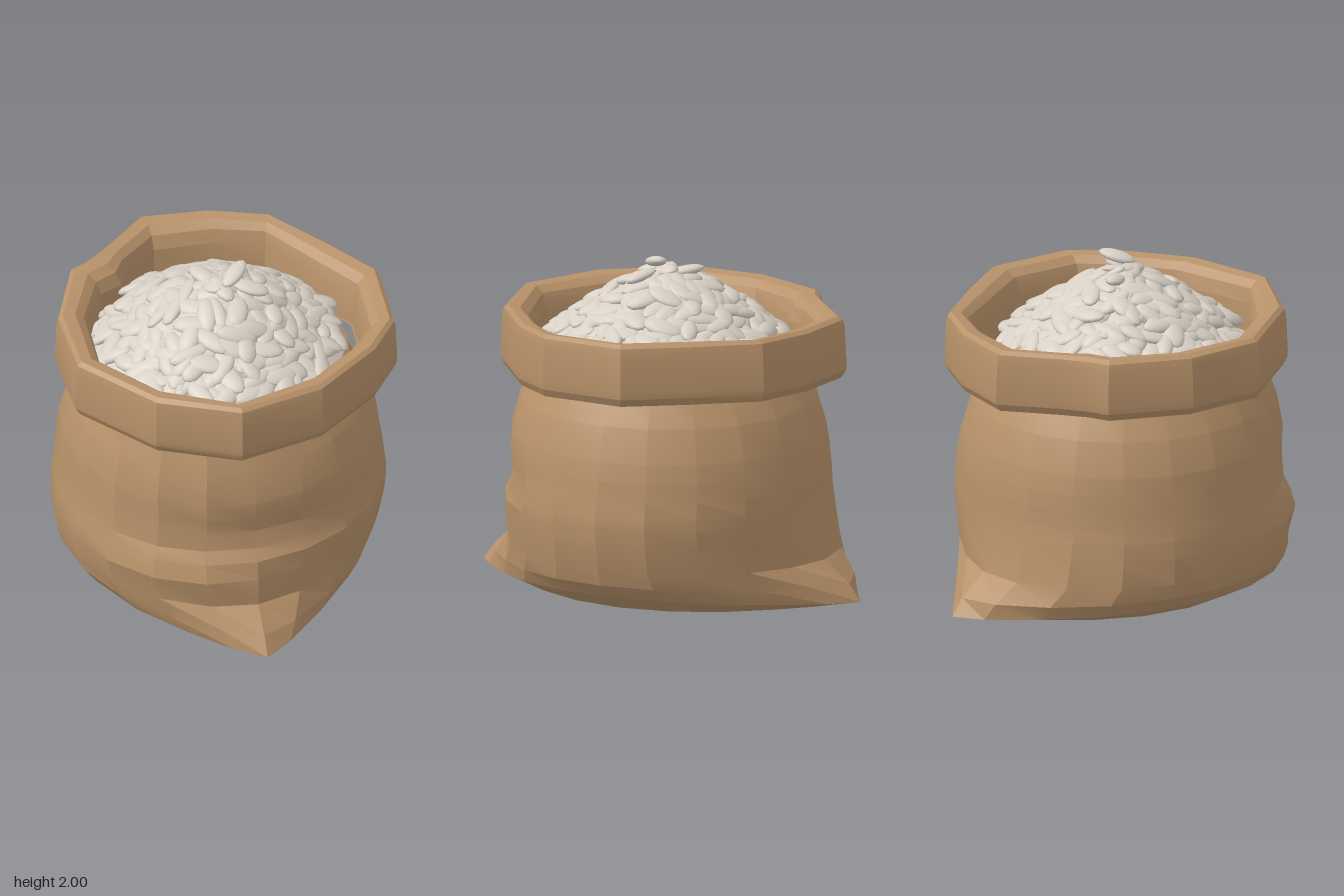
import * as THREE from 'three';
import { mergeGeometries, toCreasedNormals } from 'three/addons/utils/BufferGeometryUtils.js';

// Skin a list of closed rings (counter-clockwise from above), outside facing outward
function loft(rings, crease = 0.32) {
  const n = rings[0].length;
  const index = [];
  for (let i = 0; i < rings.length - 1; i++) {
    for (let j = 0; j < n; j++) {
      const a = i * n + j, b = i * n + (j + 1) % n;
      index.push(a, b, a + n, b, b + n, a + n);
    }
  }
  const geo = new THREE.BufferGeometry().setFromPoints(rings.flat());
  geo.setIndex(index);
  return toCreasedNormals(geo, crease);
}

function seeded(seed) {
  return () => {
    seed = (seed * 16807) % 2147483647;
    return seed / 2147483647;
  };
}

// Weight of a bulge or dent around one direction
const near = (t, centre, power) => Math.max(0, Math.cos(t - centre)) ** power;

// Sack: each ring is an ellipse on the diagonal, pinched to a lens with two pointed ears at the base
function sackGeometry() {
  // height, lift of the sides, half length, half width on either side, pinch, ear, front bulge, back bulge, front dent
  const rows = [
    [0, 0, 0, 0, 0, 0, 0, 0, 0, 0],
    [0.01, 0.01, 0.98, 0.66, 0.66, 0.5, 0.1, 0, 0, 0],
    [0.04, 0.09, 1.07, 0.85, 0.86, 0.45, 0.12, 0, 0.04, 0],
    [0.14, 0.07, 1.02, 0.92, 0.92, 0.3, 0.09, 0.02, 0.07, 0],
    [0.27, 0.03, 0.95, 0.95, 0.94, 0.1, 0.01, 0.04, 0.07, 0],
    [0.45, 0, 0.95, 0.98, 0.95, 0.04, 0, 0.07, 0.03, 0],
    [0.56, 0, 0.95, 0.99, 0.95, 0, 0, 0.03, 0.01, 0],
    [0.63, 0, 0.95, 0.99, 0.94, 0, 0, 0, 0, -0.03],
    [0.74, 0, 0.95, 0.97, 0.93, 0, 0, 0, 0, -0.05],
    [0.84, 0, 0.94, 0.96, 0.92, 0, 0, 0, 0, -0.02],
    [0.95, 0, 0.92, 0.94, 0.91, 0, 0, 0.02, 0, 0],
    [1.15, 0, 0.86, 0.88, 0.85, 0, 0, 0.05, 0, 0],
    [1.32, 0, 0.76, 0.78, 0.76, 0, 0, 0.1, 0, 0],
    [1.38, 0, 0.76, 0.78, 0.76, 0, 0, 0.07, 0, 0],
  ];
  const sides = 20;
  const rings = rows.map(([y, lift, U, Vp, Vn, pinch, ear, front, back, dent]) => {
    const ring = [];
    for (let j = 0; j < sides; j++) {
      const t = (j / sides) * Math.PI * 2;
      const c = Math.cos(t), s = Math.sin(t);
      const swell = 1 + ear * c ** 12 + dent * near(t, 0.15, 4)
        + front * near(t, -0.5, 4) + back * near(t, Math.PI + 0.5, 4);
      const u = U * c * swell;
      const v = (s > 0 ? Vp : Vn) * s * Math.abs(s) ** pinch * swell;
      ring.push(new THREE.Vector3((u + v) * Math.SQRT1_2, y + lift * s * s, (u - v) * Math.SQRT1_2));
    }
    return ring;
  });
  return loft(rings);
}

// Rolled cuff: a profile swept between an outer and an inner outline, pinched on one side
function cuffGeometry() {
  const outer = [[0.99, -0.17], [0.94, -0.47], [0.6, -0.86], [0.21, -0.94], [-0.23, -1], [-0.56, -0.86],
    [-0.87, -0.61], [-0.89, -0.24], [-0.92, -0.06], [-0.96, 0.06], [-0.77, 0.53], [-0.43, 0.87],
    [0.16, 0.95], [0.64, 0.78], [0.92, 0.34]];
  const inner = [[0.81, -0.1], [0.8, -0.36], [0.53, -0.67], [0.2, -0.75], [-0.17, -0.85], [-0.45, -0.71],
    [-0.7, -0.48], [-0.73, -0.2], [-0.69, -0.09], [-0.74, 0.05], [-0.64, 0.36], [-0.36, 0.69],
    [0.08, 0.76], [0.53, 0.66], [0.77, 0.2]];
  // how far inward, height
  const profile = [[1.1, 1.36], [0.55, 1.35], [0.4, 1.325], [0.15, 1.315], [0.02, 1.36], [0, 1.4], [0.05, 1.62],
    [0.1, 1.66], [0.24, 1.68], [0.6, 1.67], [0.85, 1.63], [1, 1.55], [1.04, 1.36]];
  const rings = profile.map(([f, y]) => outer.map(([x, z], j) => new THREE.Vector3(
    x + (inner[j][0] - x) * f, y, z + (inner[j][1] - z) * f)));
  return loft(rings);
}

// Height of the heap at a distance from its middle
const heap = [[0.001, 1.88], [0.2, 1.8], [0.33, 1.73], [0.48, 1.63], [0.66, 1.5], [0.74, 1.42]];
function heapHeight(r) {
  const i = heap.findIndex(([edge]) => r <= edge);
  const [r0, y0] = heap[i - 1], [r1, y1] = heap[i];
  return y0 + (y1 - y0) * (r - r0) / (r1 - r0);
}

// Seeds laid in a spiral over the heap, each turned and tipped a little
function seedsGeometry() {
  const rand = seeded(4217);
  const base = new THREE.SphereGeometry(1, 12, 8);
  const dummy = new THREE.Object3D();
  dummy.rotation.order = 'YXZ';
  const slope = new THREE.Quaternion();
  const up = new THREE.Vector3(0, 1, 0);
  const seeds = [];
  const add = () => {
    dummy.updateMatrix();
    seeds.push(base.clone().applyMatrix4(dummy.matrix));
  };
  const count = 270;
  for (let i = 0; i < count; i++) {
    const r = 0.68 * Math.sqrt((i + 0.5) / count);
    const a = i * 2.39996 + (rand() - 0.5) * 0.15;
    const x = Math.cos(a) * r, z = Math.sin(a) * r;
    dummy.position.set(x + 0.02, heapHeight(r) - 0.005 + rand() * 0.04, z);
    dummy.rotation.set((rand() - 0.5) * 0.3, rand() * Math.PI, (rand() - 0.5) * 0.4);
    slope.setFromUnitVectors(up, new THREE.Vector3(Math.cos(a) * 0.5, 1, Math.sin(a) * 0.5).normalize());
    dummy.quaternion.premultiply(slope);
    dummy.scale.set(0.05 + rand() * 0.015, 0.026 + rand() * 0.008, 0.095 + rand() * 0.035);
    add();
  }
  // The seed resting on the very top and those propping it up: x, y, z, tip, turn
  const topSeeds = [[0.1, 1.955, -0.04, 0.26, 0], [0.07, 1.895, 0.05, 0.2, 1.1],
    [-0.09, 1.88, -0.02, 0.15, 1.4], [0.2, 1.88, -0.06, 0.2, 1.9]];
  for (const [x, y, z, tip, turn] of topSeeds) {
    dummy.position.set(x, y, z);
    dummy.rotation.set(tip, turn, 0.1);
    dummy.scale.set(0.055, 0.03, 0.11);
    add();
  }
  return mergeGeometries(seeds);
}

export function createModel() {
  const burlap = new THREE.MeshStandardMaterial({ color: 0xb8926a, side: THREE.DoubleSide });
  burlap.name = 'burlap';
  const seedShell = new THREE.MeshStandardMaterial({ color: 0xd8d0c5 });
  seedShell.name = 'seedShell';

  const group = new THREE.Group();
  group.name = 'sackOfSeeds';
  const addPart = (name, geometry, material) => {
    const mesh = new THREE.Mesh(geometry, material);
    mesh.name = name;
    group.add(mesh);
  };

  addPart('sackBody', sackGeometry(), burlap);
  addPart('rolledCuff', cuffGeometry(), burlap);
  addPart('seeds', seedsGeometry(), seedShell);

  // Solid heap under the seeds
  const profile = heap.map(([r, y]) => new THREE.Vector2(r, y - 0.03)).reverse();
  addPart('seedHeap', new THREE.LatheGeometry(profile, 24), seedShell);
  return group;
}
